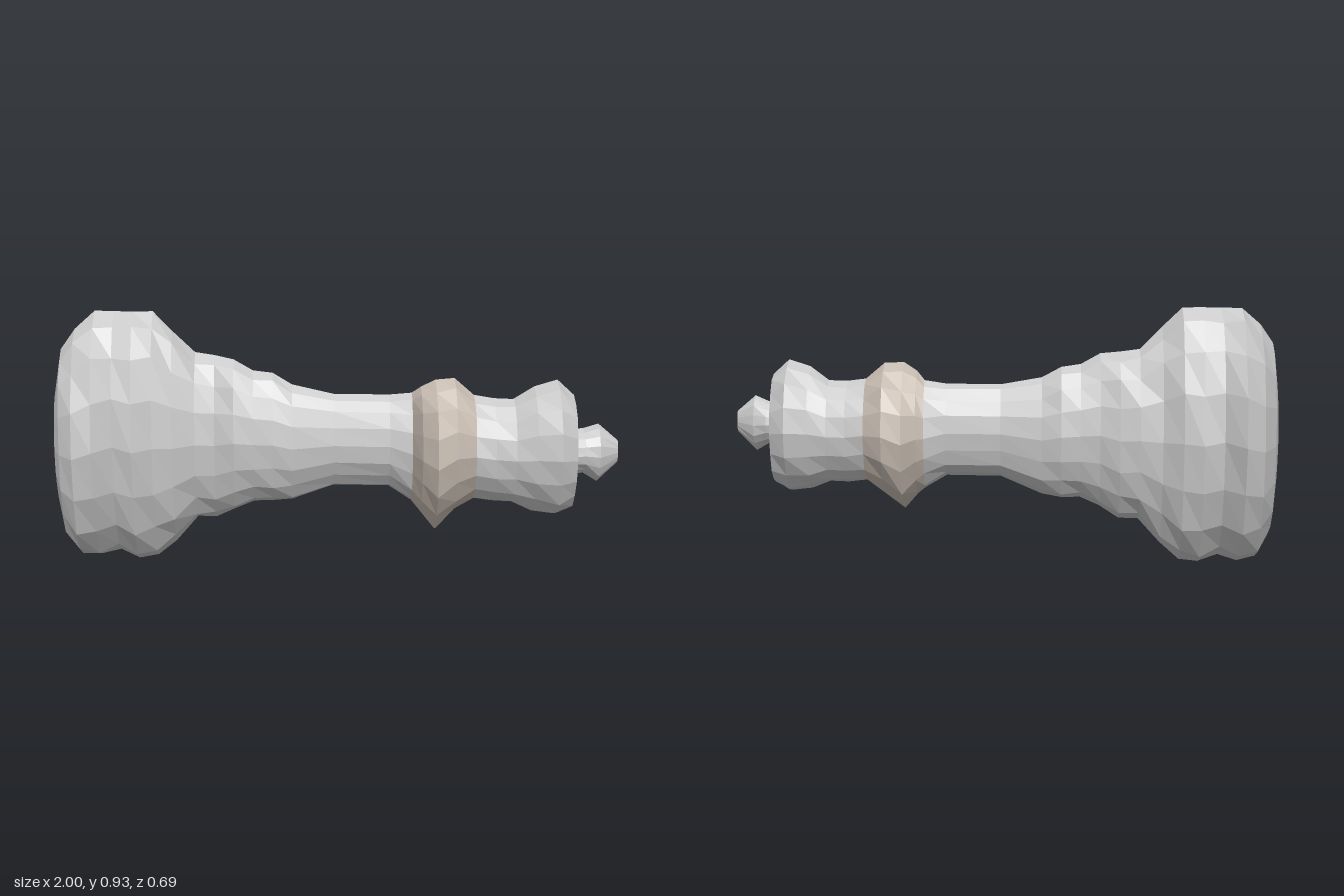
import * as THREE from 'three';

const SIDES = 14 + 2;

// Faceted skin through oval cross-sections [x, yMin, yMax, zMin, zMax] along x
function loft(name, color, sections, capStart = false, capEnd = false) {
  const pos = [], index = [];
  for (const [x, y0, y1, z0, z1] of sections) {
    for (let j = 0; j < SIDES; j++) {
      const a = (j / SIDES) * Math.PI * 2;
      // slightly lumpy between the four extreme points
      const lump = 1 - Math.abs(Math.sin(2 * a)) * (0.025 + 0.025 * Math.sin(x * 37 + j * 2.3));
      pos.push(
        x,
        (y0 + y1) / 2 + ((y1 - y0) / 2) * Math.sin(a) * lump,
        (z0 + z1) / 2 + ((z1 - z0) / 2) * Math.cos(a) * lump
      );
    }
  }
  for (let i = 0; i < sections.length - 1; i++) {
    for (let j = 0; j < SIDES; j++) {
      const k = (j + 1) % SIDES;
      const a = i * SIDES + j, b = i * SIDES + k, c = a + SIDES, d = b + SIDES;
      index.push(a, c, b, b, c, d);
    }
  }
  const cap = (i, flip) => {
    const [x, y0, y1, z0, z1] = sections[i];
    const centre = pos.length / 3;
    pos.push(x, (y0 + y1) / 2, (z0 + z1) / 2);
    for (let j = 0; j < SIDES; j++) {
      const a = i * SIDES + j, b = i * SIDES + ((j + 1) % SIDES);
      index.push(centre, flip ? b : a, flip ? a : b);
    }
  };
  if (capStart) cap(0, false);
  if (capEnd) cap(sections.length - 1, true);

  const geometry = new THREE.BufferGeometry();
  geometry.setAttribute('position', new THREE.Float32BufferAttribute(pos, 3));
  geometry.setIndex(index);
  geometry.computeVertexNormals();
  const mesh = new THREE.Mesh(
    geometry,
    new THREE.MeshStandardMaterial({ color, flatShading: true })
  );
  mesh.name = name;
  return mesh;
}

export function createModel() {
  const group = new THREE.Group();
  group.name = 'chessPieceLyingDown';
  const grey = 0xcccccc;

  // Broad oval foot with a rounded rim and a shallow groove behind it
  group.add(loft('base', grey, [
    [-1.0, 0.25, 0.66, -0.08, 0.11],
    [-0.98, 0.1, 0.8, -0.18, 0.15],
    [-0.93, 0.02, 0.87, -0.28, 0.2],
    [-0.86, 0.01, 0.93, -0.35, 0.21],
    [-0.79, 0.03, 0.93, -0.28, 0.16],
    [-0.72, 0.0, 0.93, -0.28, 0.19],
    [-0.65, 0.01, 0.93, -0.26, 0.15],
    [-0.58, 0.07, 0.86, -0.21, 0.13],
    [-0.5, 0.16, 0.78, -0.2, 0.1],
  ], true));

  // Tapering shaft
  group.add(loft('stem', grey, [
    [-0.5, 0.16, 0.78, -0.2, 0.1],
    [-0.43, 0.16, 0.77, -0.18, 0.09],
    [-0.36, 0.2, 0.76, -0.15, 0.12],
    [-0.29, 0.23, 0.72, -0.14, 0.12],
    [-0.22, 0.23, 0.71, -0.14, 0.11],
    [-0.15, 0.24, 0.67, -0.11, 0.11],
    [0.0, 0.3, 0.64, -0.07, 0.12],
    [0.2, 0.3, 0.64, -0.06, 0.14],
    [0.28, 0.25, 0.65, -0.06, 0.17],
  ]));

  // Flared ring below the head
  group.add(loft('collar', 0xc8bdb2, [
    [0.28, 0.25, 0.65, -0.06, 0.17],
    [0.31, 0.22, 0.68, -0.08, 0.26],
    [0.36, 0.16, 0.71, -0.11, 0.33],
    [0.43, 0.22, 0.71, -0.12, 0.29],
    [0.5, 0.27, 0.65, -0.06, 0.25],
  ]));

  // Head widening to the crown
  group.add(loft('head', grey, [
    [0.5, 0.27, 0.65, -0.06, 0.25],
    [0.57, 0.26, 0.64, -0.04, 0.25],
    [0.64, 0.26, 0.64, -0.03, 0.27],
    [0.71, 0.23, 0.69, -0.03, 0.3],
    [0.79, 0.22, 0.715, -0.06, 0.34],
    [0.85, 0.25, 0.66, 0.0, 0.29],
  ], false, true));

  // Small pointed knob on the crown
  group.add(loft('finial', grey, [
    [0.83, 0.39, 0.55, 0.12, 0.29],
    [0.88, 0.39, 0.55, 0.11, 0.28],
    [0.93, 0.36, 0.57, 0.13, 0.28],
    [1.0, 0.43, 0.51, 0.19, 0.23],
  ], true, true));

  return group;
}
